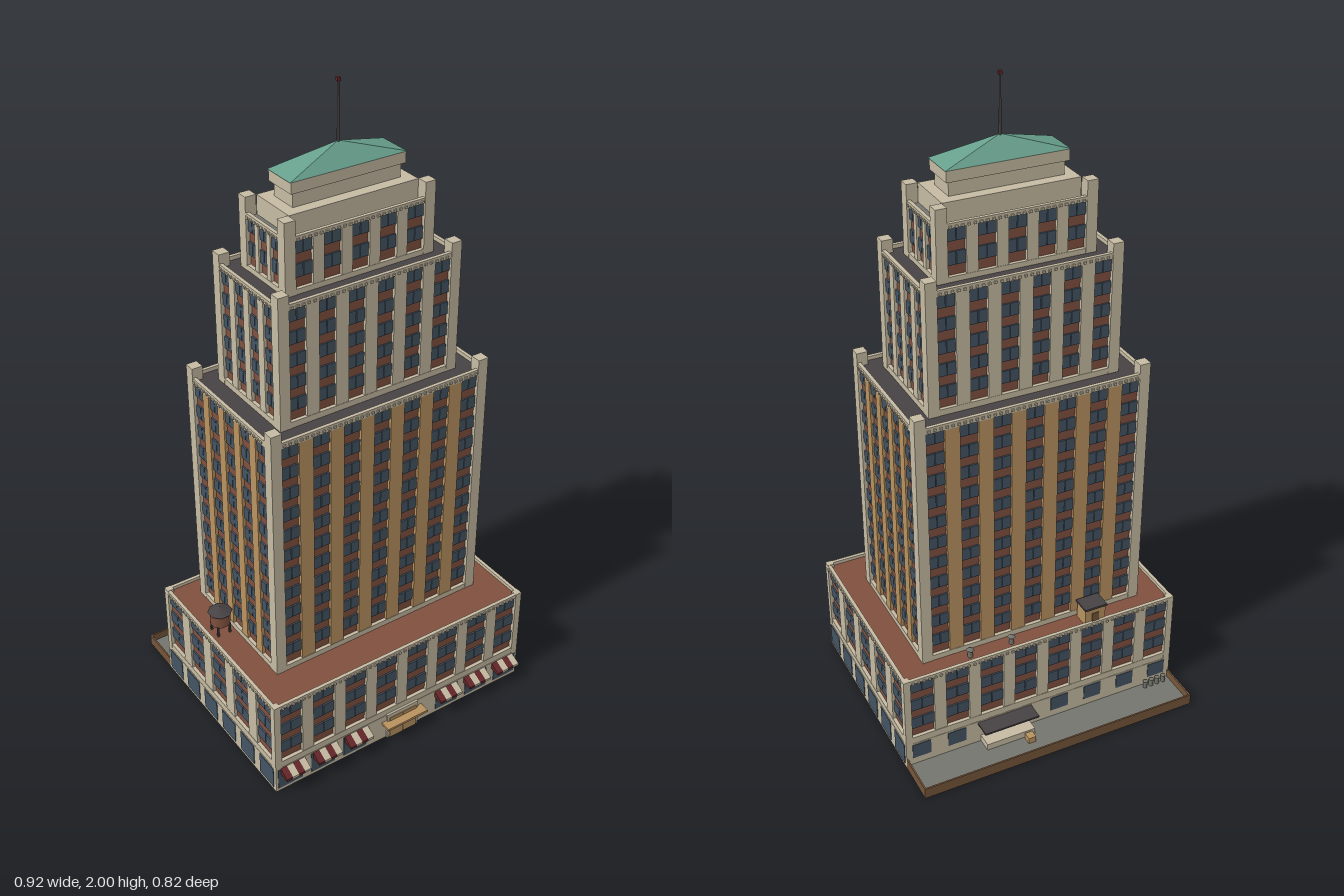
import * as THREE from 'three';
import { mergeGeometries } from 'three/addons/utils/BufferGeometryUtils.js';

const mat = (name, color, extra = {}) => {
  const m = new THREE.MeshStandardMaterial({ color, ...extra });
  m.name = name;
  return m;
};

export function createModel() {
  const stone = mat('limestone', 0xc6bba3);
  const tan = mat('tan stone', 0xb8925f);
  const brick = mat('brick', 0x80503f);
  const glass = mat('window glass', 0x435463);
  const gravel = mat('grey roofing', 0x74756d);
  const dark = mat('dark roofing', 0x474244);
  const copper = mat('green copper', 0x68a08d, { flatShading: true });
  const maroon = mat('maroon', 0x632628);
  const brown = mat('brown wall', 0x74553b);

  const model = new THREE.Group();
  model.name = 'setbackTower';

  // Box given by its two corners
  const box = (x0, x1, y0, y1, z0, z1) =>
    new THREE.BoxGeometry(x1 - x0, y1 - y0, z1 - z0).translate((x0 + x1) / 2, (y0 + y1) / 2, (z0 + z1) / 2);
  const add = (parent, name, material, ...geos) => {
    const mesh = new THREE.Mesh(geos.length > 1 ? mergeGeometries(geos) : geos[0], material);
    mesh.name = name;
    parent.add(mesh);
    return mesh;
  };

  // Places a facade group, built facing +z, on one of the four sides
  const sides = (x, z0, z1, build) => {
    const zc = (z0 + z1) / 2, d = (z1 - z0) / 2;
    [['front', 0, zc + d, 0, x], ['back', 0, zc - d, Math.PI, x],
      ['left', x, zc, Math.PI / 2, d], ['right', -x, zc, -Math.PI / 2, d]].forEach(([name, px, pz, ry, half]) => {
      const g = build(name, half);
      g.name = name + 'Facade';
      g.position.set(px, 0, pz);
      g.rotation.y = ry;
      model.add(g);
    });
  };

  // Columns of windows and brick spandrels between pilasters
  const facade = (half, t, cols) => {
    const g = new THREE.Group();
    const inner = half - t.pier, w = t.win * (cols.scale || 1), n = cols.n;
    const step = (2 * inner - w) / (n - 1), fh = (t.w1 - t.w0) / t.floors;
    const panes = [], posts = [], teeth = [];
    for (let i = 0; i < n; i++) {
      const x = -inner + w / 2 + i * step;
      for (let f = 0; f < t.floors; f++) {
        const y = t.w0 + f * fh + fh * 0.44;
        panes.push(box(x - w / 2, x - 0.001, y, y + fh * 0.56, -0.012, -0.007));
        panes.push(box(x + 0.001, x + w / 2, y, y + fh * 0.56, -0.012, -0.007));
      }
      if (i < n - 1) posts.push(box(x + w / 2, x + step - w / 2, t.w0, t.w1, -0.014, -0.002));
    }
    for (let x = -inner + 0.008; x < inner; x += 0.018) teeth.push(box(x - 0.004, x + 0.004, t.y1 - 0.014, t.y1 - 0.007, -0.003, 0.003));
    add(g, 'windows', glass, ...panes);
    add(g, 'pilasters', t.post, ...posts);
    add(g, 'dentils', stone, ...teeth);
    return g;
  };

  // One setback: brick core, corner piers, bands, parapet and roof
  const tier = (t) => {
    const { x, z0, z1, pier: p } = t, c = 0.012;
    add(model, t.name + 'Core', brick, box(-x + c, x - c, t.w0 - 0.005, t.w1 + 0.002, z0 + c, z1 - c));
    const piers = [];
    for (const [a, b] of [[-x, -x + p], [x - p, x]])
      for (const [e, f] of [[z0, z0 + p], [z1 - p, z1]]) piers.push(box(a, b, t.y0, t.top, e, f));
    add(model, t.name + 'CornerPiers', stone, ...piers);
    const ring = (y0, y1, w) => [
      box(-x, x, y0, y1, z0 + 0.001, z0 + w), box(-x, x, y0, y1, z1 - w, z1 - 0.001),
      box(-x + 0.001, -x + w, y0, y1, z0 + w, z1 - w), box(x - w, x - 0.001, y0, y1, z0 + w, z1 - w)];
    add(model, t.name + 'Parapet', stone, ...ring(t.w1, t.y1, 0.012), ...ring(t.y0, t.w0, 0.014));
    add(model, t.name + 'Roof', t.roof, box(-x + c, x - c, t.w1, t.y1 - 0.012, z0 + c, z1 - c));
    sides(x, z0, z1, (name, half) =>
      facade(half, t, name === 'front' || name === 'back' ? { n: t.front } : { n: t.side, scale: t.sideScale }));
  };

  tier({ name: 'base', x: 0.458, z0: -0.275, z1: 0.373, y0: 0.085, w0: 0.113, w1: 0.32, y1: 0.333, top: 0.334,
    pier: 0.022, win: 0.075, front: 8, side: 5, sideScale: 1.1, floors: 3, post: stone, roof: gravel });
  tier({ name: 'shaft', x: 0.367, z0: -0.206, z1: 0.246, y0: 0.32, w0: 0.34, w1: 1.11, y1: 1.13, top: 1.16,
    pier: 0.034, win: 0.056, front: 7, side: 5, sideScale: 0.9, floors: 11, post: tan, roof: dark });
  tier({ name: 'middle', x: 0.298, z0: -0.145, z1: 0.185, y0: 1.115, w0: 1.137, w1: 1.48, y1: 1.498, top: 1.526,
    pier: 0.034, win: 0.054, front: 6, side: 4, sideScale: 0.8, floors: 5, post: stone, roof: dark });
  tier({ name: 'upper', x: 0.241, z0: -0.092, z1: 0.132, y0: 1.485, w0: 1.502, w1: 1.64, y1: 1.655, top: 1.7,
    pier: 0.034, win: 0.055, front: 5, side: 3, sideScale: 0.72, floors: 2, post: stone, roof: gravel });

  // Stepped crown, copper hip roof and mast
  add(model, 'crown', stone,
    box(-0.206, 0.206, 1.64, 1.7, -0.058, 0.1),
    box(-0.172, 0.172, 1.7, 1.742, -0.024, 0.065),
    box(-0.182, 0.182, 1.742, 1.775, -0.034, 0.074));
  const hip = add(model, 'hipRoof', copper, new THREE.ConeGeometry(Math.SQRT1_2, 1, 4).rotateY(Math.PI / 4));
  hip.scale.set(0.37, 0.055, 0.11);
  hip.position.set(0, 1.8025, 0.02);
  add(model, 'mast', dark, new THREE.CylinderGeometry(0.003, 0.004, 0.175, 8).translate(0, 1.905, 0.02));
  add(model, 'mastLight', maroon, box(-0.005, 0.005, 1.99, 2, 0.015, 0.025));

  // Ground floor with shop windows; the back has smaller panes beside the dock
  add(model, 'groundFloor', stone, box(-0.458, 0.458, 0, 0.09, -0.275, 0.373));
  sides(0.458, -0.275, 0.373, (name, half) => {
    const g = new THREE.Group();
    const long = name === 'front' || name === 'back', n = long ? 8 : 6;
    const w = name === 'front' ? 0.085 : name === 'back' ? 0.06 : 0.076;
    const step = (2 * half - 0.1) / (n - 1), panes = [];
    for (let i = 0; i < n; i++) {
      const x = -half + 0.05 + i * step;
      if (name === 'front' && Math.abs(x) < 0.08) continue;
      if (name === 'back' && x > -0.25 && x < -0.02) continue;
      panes.push(box(x - w / 2, x + w / 2, name === 'back' ? 0.035 : 0.012, 0.085, -0.003, 0.002));
    }
    add(g, 'shopWindows', glass, ...panes);
    return g;
  });

  // Main entrance with canopy
  add(model, 'entranceSurround', stone, box(-0.058, 0.058, 0, 0.094, 0.36, 0.379));
  add(model, 'entranceDoors', tan, box(-0.05, -0.001, 0, 0.08, 0.375, 0.382), box(0.001, 0.05, 0, 0.08, 0.375, 0.382));
  add(model, 'entranceCanopy', tan, box(-0.075, 0.075, 0.06, 0.068, 0.373, 0.408));

  // Striped awnings: wedge cross-section swept along x
  const wedge = (x, w) => {
    const s = new THREE.Shape([[0, 0.087], [0, 0.066], [-0.034, 0.062], [-0.034, 0.07]].map(p => new THREE.Vector2(...p)));
    return new THREE.ExtrudeGeometry(s, { depth: w, bevelEnabled: false }).rotateY(Math.PI / 2).translate(x, 0, 0.373);
  };
  const stripes = [[], []];
  for (const x of [-0.441, -0.327, -0.213, 0.128, 0.242, 0.356])
    for (let i = 0; i < 4; i++) stripes[i % 2].push(wedge(x + i * 0.0212, 0.0212));
  add(model, 'awningDarkStripes', maroon, ...stripes[0]);
  add(model, 'awningLightStripes', stone, ...stripes[1]);

  // Rear alley: paving, low wall, dock, crate and bins
  add(model, 'alleyPaving', [gravel, gravel, gravel, dark, gravel, gravel], box(-0.456, 0.456, 0.004, 0.01, -0.408, -0.275));
  add(model, 'alleyWall', brown,
    box(-0.458, 0.458, 0, 0.036, -0.41, -0.405),
    box(-0.458, -0.453, 0, 0.036, -0.405, -0.275), box(0.453, 0.458, 0, 0.036, -0.405, -0.275));
  add(model, 'dockCanopy', dark, box(0.04, 0.222, 0.08, 0.086, -0.33, -0.274));
  add(model, 'dockPlatform', stone, box(0.05, 0.212, 0.01, 0.032, -0.322, -0.274));
  add(model, 'dockDoors', dark, box(0.06, 0.125, 0.032, 0.075, -0.279, -0.274), box(0.137, 0.202, 0.032, 0.075, -0.279, -0.274));
  add(model, 'crate', tan, box(0.062, 0.087, 0.01, 0.03, -0.353, -0.326));
  add(model, 'bins', gravel, ...[-0.43, -0.408, -0.386, -0.364].map(x =>
    new THREE.CylinderGeometry(0.008, 0.007, 0.024, 10).translate(x, 0.022, -0.289)));

  // Water tank on legs
  const tank = new THREE.Group();
  tank.name = 'waterTank';
  tank.position.set(-0.405, 0.32, -0.015);
  add(tank, 'tankBody', brick, new THREE.CylinderGeometry(0.031, 0.031, 0.045, 8).rotateY(Math.PI / 8).translate(0, 0.058, 0));
  add(tank, 'tankRoof', dark, new THREE.ConeGeometry(0.038, 0.018, 8).rotateY(Math.PI / 8).translate(0, 0.088, 0));
  add(tank, 'tankLegs', dark, ...[[-1, -1], [-1, 1], [1, -1], [1, 1]].map(([a, b]) =>
    box(a * 0.02 - 0.003, a * 0.02 + 0.003, 0, 0.037, b * 0.02 - 0.003, b * 0.02 + 0.003)));
  model.add(tank);

  // Stair bulkhead and roof vents
  add(model, 'stairBulkhead', tan, box(-0.217, -0.148, 0.32, 0.378, -0.265, -0.213));
  add(model, 'bulkheadRoof', dark, box(-0.221, -0.145, 0.378, 0.385, -0.269, -0.209));
  add(model, 'bulkheadDoor', brown, box(-0.194, -0.171, 0.321, 0.362, -0.268, -0.264));
  for (const x of [0.09, 0.227]) {
    add(model, 'ventPipe', gravel, new THREE.CylinderGeometry(0.008, 0.008, 0.03, 6).translate(x, 0.335, -0.238));
    add(model, 'ventCap', gravel, new THREE.ConeGeometry(0.013, 0.01, 6).translate(x, 0.353, -0.238));
  }
  return model;
}
